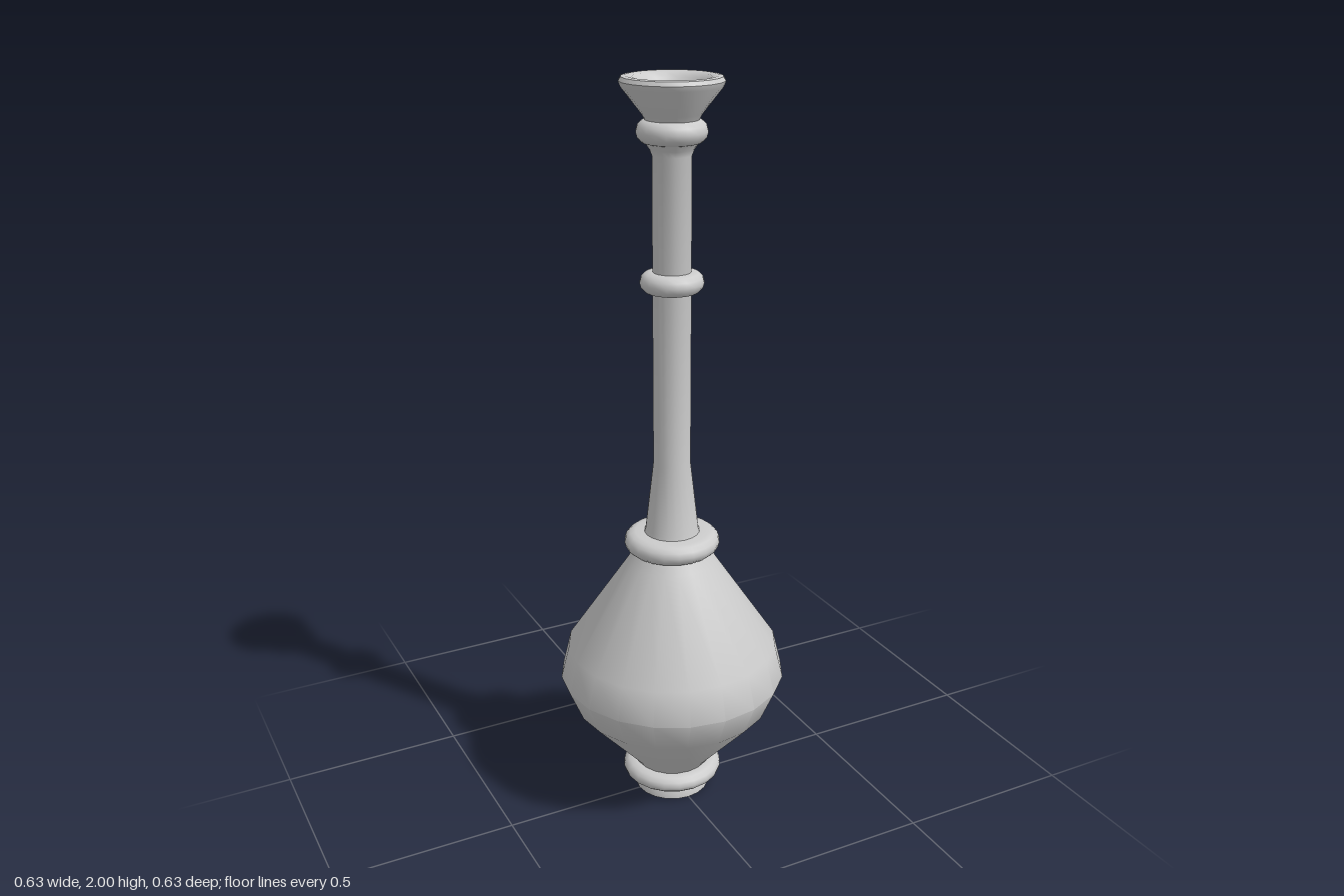
import * as THREE from 'three';
import { toCreasedNormals } from 'three/addons/utils/BufferGeometryUtils.js';

const SIDES = 20;

export function createModel() {
  const group = new THREE.Group();
  const material = new THREE.MeshStandardMaterial({ color: 0xcccccc });

  // Turned part from [radius, height] pairs, outside surface running upwards
  function turned(name, profile) {
    const points = profile.map(([r, y]) => new THREE.Vector2(r, y));
    const geometry = toCreasedNormals(new THREE.LatheGeometry(points, SIDES), 0.7);
    const mesh = new THREE.Mesh(geometry, material);
    mesh.name = name;
    group.add(mesh);
  }

  // Rounded bead around the stem: half-ellipse bulging from inner to outer radius
  function bead(name, y, halfHeight, inner, outer, bulge) {
    const profile = [[inner, y - halfHeight]];
    for (let i = 0; i <= 6; i++) {
      const a = -Math.PI / 2 + (i / 6) * Math.PI;
      profile.push([outer - bulge + bulge * Math.cos(a), y + halfHeight * Math.sin(a)]);
    }
    profile.push([inner, y + halfHeight]);
    turned(name, profile);
  }

  // Foot with a recessed underside
  turned('foot', [[0, 0.02], [0.053, 0.02], [0.055, 0], [0.105, 0], [0.103, 0.015], [0.095, 0.035]]);
  bead('footRing', 0.06, 0.025, 0.08, 0.14, 0.03);

  // Bulbous body
  turned('body', [[0.1, 0.08], [0.118, 0.105], [0.275, 0.28], [0.313, 0.37], [0.29, 0.463],
    [0.12, 0.715], [0.1, 0.75]]);
  bead('shoulderRing', 0.772, 0.028, 0.065, 0.13, 0.03);

  // Flared neck and long straight stem
  turned('neck', [[0.078, 0.79], [0.072, 0.81], [0.05, 1.0], [0.05, 1.81], [0.056, 1.825], [0.068, 1.842]]);
  bead('stemRing', 1.492, 0.027, 0.045, 0.083, 0.027);
  bead('upperRing', 1.868, 0.03, 0.04, 0.09, 0.03);

  // Funnel mouth with a thick lip and a small flat floor
  turned('mouth', [[0.065, 1.892], [0.075, 1.91], [0.126, 1.975], [0.131, 1.988], [0.125, 1.998],
    [0.113, 2.0], [0.098, 1.997], [0.087, 1.985], [0.031, 1.9], [0, 1.9]]);

  return group;
}
